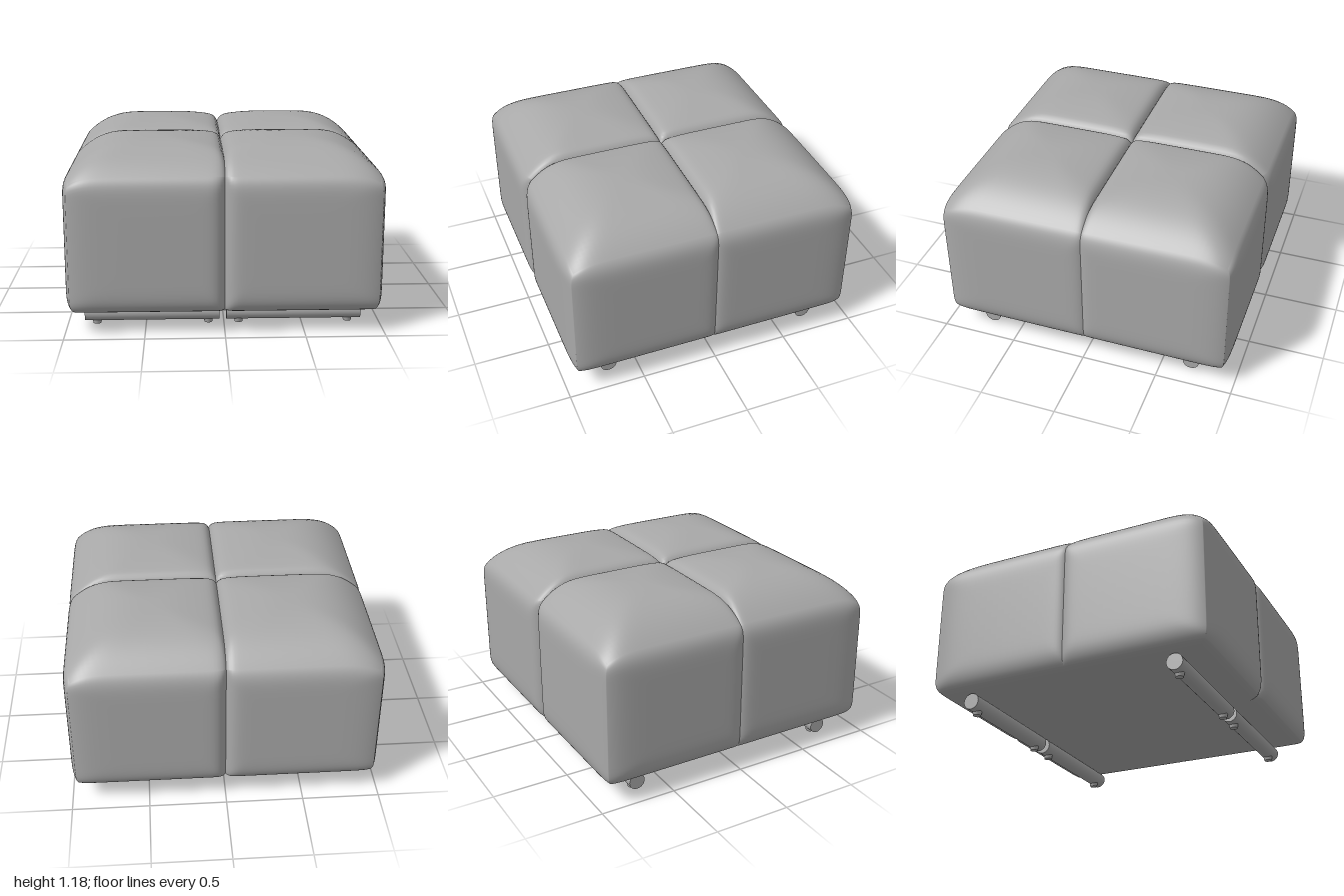
import * as THREE from 'three';
import { mergeVertices } from 'three/addons/utils/BufferGeometryUtils.js';

const BOTTOM = 0.127, TOP = 1.18, HALF_X = 1, HALF_Z = 0.965;
const ease = (t) => 0.5 - 0.5 * Math.cos(Math.PI * t);

// Fall of the dome from its peak: a tight roll at the seam, a wide one outside
function drop(t) {
  if (t > 0.4) return 0.175 * Math.pow((t - 0.4) / 0.6, 3.2);
  const s = (0.4 - t) / 0.4;
  return 0.05 * Math.pow(s, 1.7) + 0.05 * Math.pow(s, 18);
}

// Inset of an upright side: rolled top and bottom, rounded corner, pinched seam
function inset(v, t, corner, seam) {
  const roll = 0.042 * Math.pow(Math.abs(2 * v - 1), 10);
  const side = t > 0.4
    ? corner * Math.pow((t - 0.4) / 0.6, 8)
    : seam * Math.pow((0.4 - t) / 0.4, 12);
  return Math.hypot(roll, side);
}

// One quarter of the pouf, open along the two hidden seam walls
function cushionGeometry(sx, sz) {
  const box = new THREE.BoxGeometry(1, 1, 1, 32, 32, 32);
  const index = [];
  box.groups.forEach((g, face) => {
    if (face === 1 || face === 5) return; // inner walls
    for (let i = g.start; i < g.start + g.count; i += 3) {
      const [a, b, c] = [0, 1, 2].map((k) => box.index.getX(i + k));
      if (sx * sz > 0) index.push(a, b, c);
      else index.push(a, c, b);
    }
  });
  box.setIndex(index);
  box.clearGroups();
  box.deleteAttribute('uv');
  box.deleteAttribute('normal');

  const p = box.attributes.position;
  for (let i = 0; i < p.count; i++) {
    const u = ease(p.getX(i) + 0.5);
    const v = ease(p.getY(i) + 0.5);
    const w = ease(p.getZ(i) + 0.5);
    const top = TOP - Math.cbrt(drop(u) ** 3 + drop(w) ** 3);
    const low = BOTTOM + 0.025 * Math.pow(Math.max(u, w), 24);
    p.setXYZ(i,
      sx * u * (HALF_X - inset(v, w, 0.035, 0.02)),
      low + (top - low) * v,
      sz * w * (HALF_Z - inset(v, u, 0.03, 0.06)));
  }
  const geometry = mergeVertices(box, 1e-5);
  geometry.computeVertexNormals();
  return geometry;
}

export function createModel() {
  const model = new THREE.Group();
  model.name = 'pouf';
  const fabric = new THREE.MeshStandardMaterial({ color: 0xa8a8a8 });
  fabric.name = 'grey';

  const add = (name, geometry, x = 0, y = 0, z = 0) => {
    const mesh = new THREE.Mesh(geometry, fabric);
    mesh.name = name;
    mesh.position.set(x, y, z);
    model.add(mesh);
    return mesh;
  };

  // Four puffed cushions meeting at the cross seam
  for (const sx of [1, -1]) {
    for (const sz of [1, -1]) {
      add(`${sz > 0 ? 'front' : 'back'}${sx > 0 ? 'Left' : 'Right'}Cushion`, cushionGeometry(sx, sz));
    }
  }

  // Round base bars, each on two small tapered feet
  const bars = [
    { from: -0.89, to: -0.03, feet: [-0.815, -0.1] },
    { from: 0.015, to: 0.88, feet: [0.095, 0.8] },
  ];
  const footGeometry = new THREE.CylinderGeometry(0.032, 0.025, 0.035, 20);
  for (const z of [0.7, -0.7]) {
    for (const { from, to, feet } of bars) {
      const bar = new THREE.CylinderGeometry(0.053, 0.053, to - from, 32);
      bar.rotateZ(Math.PI / 2);
      add('baseBar', bar, (from + to) / 2, 0.072, z);
      for (const x of feet) add('foot', footGeometry, x, 0.0175, z);
    }
  }
  return model;
}
